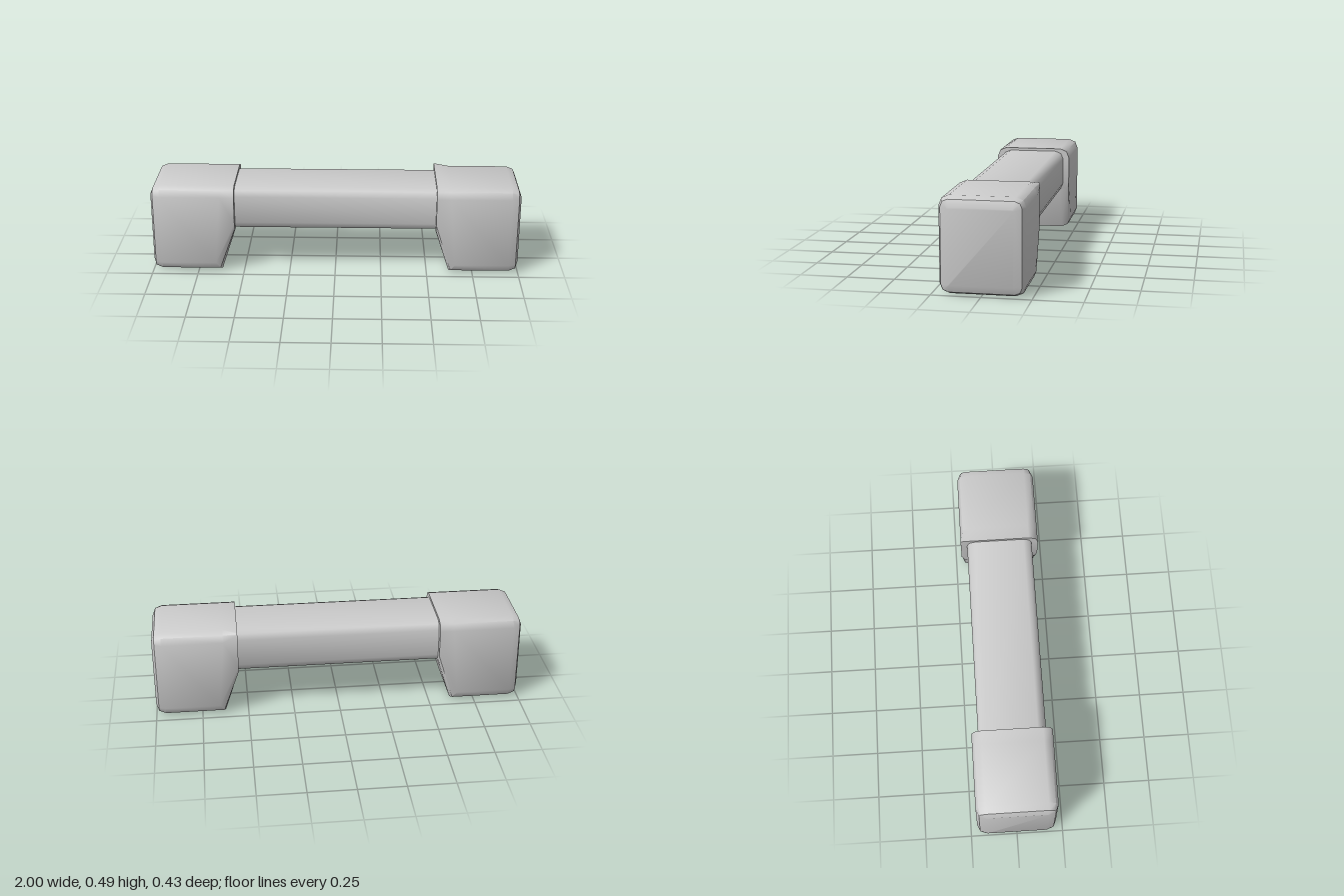
import * as THREE from 'three';
import { toCreasedNormals } from 'three/addons/utils/BufferGeometryUtils.js';

// Rounded rectangle in the y-z plane: two bevel steps at every corner.
// skew pushes the lower bevel points along x; ear leaves the upper back corner square.
function section({ x, y0, y1, hz, r, skew = 0, ear = false }) {
  const steps = [[0, 1], [0.29, 0.29], [1, 0]];
  const corners = [[-1, 1], [1, 1], [1, -1], [-1, -1]]; // [z sign, y sign]
  const pts = [];
  corners.forEach(([sz, sy], c) => {
    const order = c % 2 ? [...steps].reverse() : steps;
    for (const [a, b] of order) {
      const square = ear && c === 0;
      const dz = square ? 0.25 * r * a : r * a;
      const dy = square ? 0.25 * r * b : r * b;
      const y = sy > 0 ? y1 - dy : y0 + dy;
      pts.push([sy < 0 ? x + skew * dy : x, y, sz * (hz - dz)]);
    }
  });
  return pts;
}

// Skin a row of sections running towards +x and close both ends
function loft(specs) {
  const loops = specs.map(section);
  const n = loops[0].length;
  const index = [];
  const last = (loops.length - 1) * n;
  for (let k = 0; k < loops.length - 1; k++) {
    for (let i = 0; i < n; i++) {
      const a = k * n + i, b = k * n + (i + 1) % n;
      index.push(a, b, b + n, a, b + n, a + n);
    }
  }
  for (let i = 1; i < n - 1; i++) {
    index.push(0, i + 1, i, last, last + i, last + i + 1);
  }
  const g = new THREE.BufferGeometry();
  g.setAttribute('position', new THREE.Float32BufferAttribute(loops.flat(2), 3));
  g.setIndex(index);
  return toCreasedNormals(g, 0.8);
}

// End block: sloped inner underside, flat middle, rounded outer end
function footGeometry(ear) {
  const H = 0.488, Z = 0.215, R = 0.052;
  const inset = (x, d, r) => ({ x, y0: d, y1: H - d, hz: Z - d, r });
  return loft([
    { x: 0.545, y0: 0.235, y1: H, hz: Z, r: R, ear },
    { x: 0.622, y0: 0, y1: H, hz: Z, r: R, skew: 0.6 },
    inset(0.948, 0, R),
    inset(0.985, 0.015, 0.037),
    inset(1, 0.052, 0.008),
  ]);
}

export function createModel() {
  const group = new THREE.Group();
  group.name = 'handle';
  const material = new THREE.MeshStandardMaterial({ color: 0xcccccc });
  const add = (name, geometry) => {
    const mesh = new THREE.Mesh(geometry, material);
    mesh.name = name;
    group.add(mesh);
    return mesh;
  };

  // Grip bar between the blocks
  const bar = { y0: 0.235, y1: 0.473, hz: 0.18, r: 0.045 };
  add('gripBar', loft([{ x: -0.56, ...bar }, { x: 0.56, ...bar }]));

  // Mounting blocks; only the left one carries the small pointed corner
  add('leftFoot', footGeometry(true));
  add('rightFoot', footGeometry(false)).rotation.y = Math.PI;

  return group;
}
